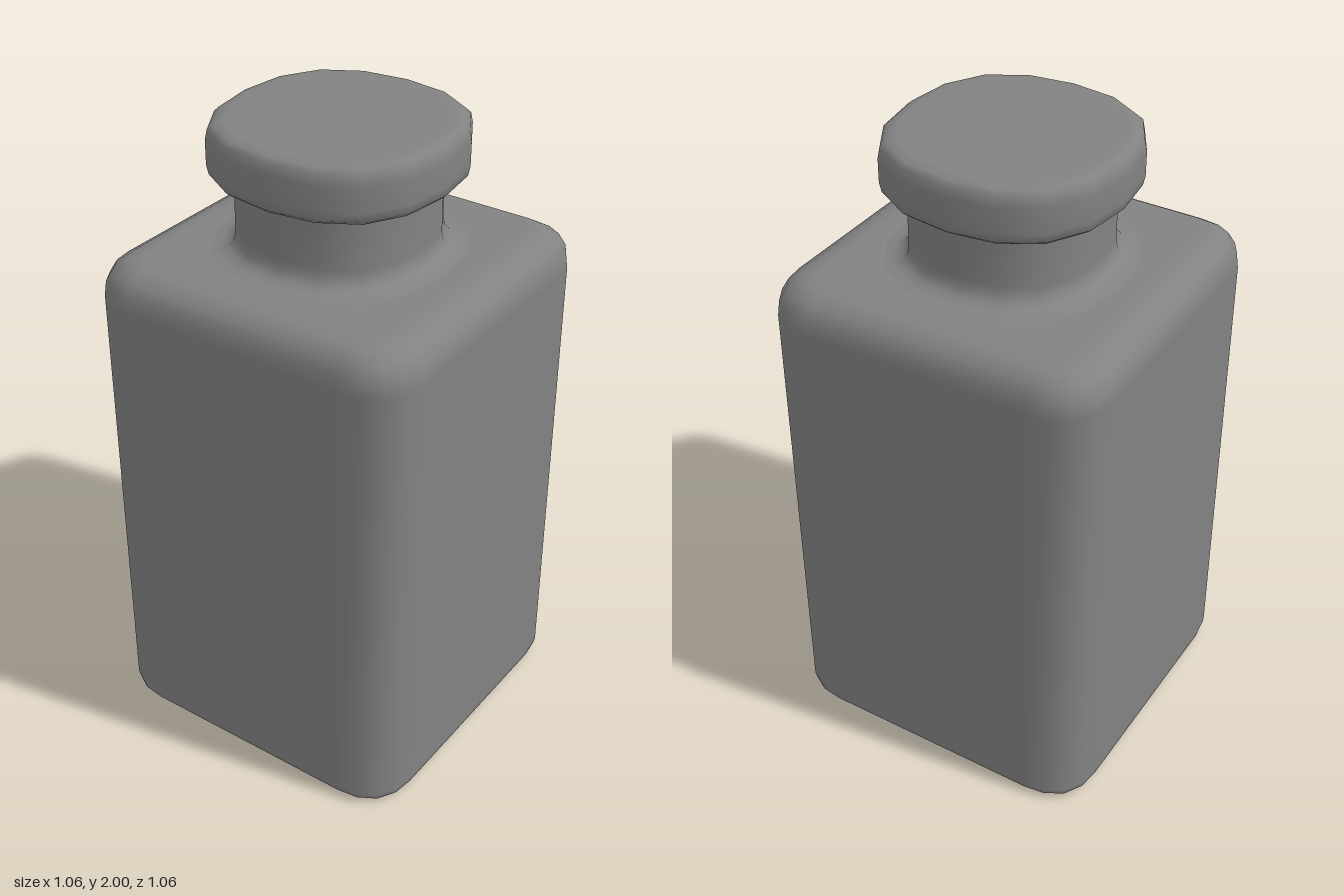
import * as THREE from 'three';

const material = new THREE.MeshStandardMaterial({ color: 0x828282 });

// Quarter of a slightly squared unit circle, in four segments.
const quarter = [[1, 0], [0.944, 0.418], [0.75, 0.75], [0.418, 0.944], [0, 1]];

// Repeats the points [x, z] of one corner around the y axis.
function fourCorners(points) {
  const ring = [];
  for (let k = 0; k < 4; k++) {
    for (const [x, z] of points) {
      ring.push([[x, z], [-z, x], [-x, -z], [z, -x]][k]);
    }
  }
  return ring;
}

// Square of half width h with rounded corners of size r.
const roundedSquare = (h, r) =>
  fourCorners(quarter.map(([x, z]) => [h - r + r * x, h - r + r * z]));

// Sixteen-sided, slightly squared circle of half width h.
const softCircle = (h) =>
  fourCorners(quarter.slice(0, 4).map(([x, z]) => [h * x, h * z]));

// Skins rings ({ y, ring }) from bottom to top and closes both ends if capped.
function loft(name, levels, capped) {
  const n = levels[0].ring.length;
  const last = (levels.length - 1) * n;
  const pos = [];
  const index = [];
  for (const { y, ring } of levels) {
    for (const [x, z] of ring) pos.push(x, y, z);
  }
  const centre = pos.length / 3;
  pos.push(0, levels[0].y, 0, 0, levels[levels.length - 1].y, 0);
  for (let i = 0; i < n; i++) {
    const k = (i + 1) % n;
    for (let o = 0; o < last; o += n) {
      index.push(o + i, o + n + i, o + k, o + k, o + n + i, o + n + k);
    }
    if (capped) index.push(centre, i, k, centre + 1, last + k, last + i);
  }
  const geometry = new THREE.BufferGeometry();
  geometry.setAttribute('position', new THREE.Float32BufferAttribute(pos, 3));
  geometry.setIndex(index);
  geometry.computeVertexNormals();
  const mesh = new THREE.Mesh(geometry, material);
  mesh.name = name;
  return mesh;
}

export function createModel() {
  const group = new THREE.Group();
  group.name = 'bottle';

  // Square body: small bevel at the foot, rounded shoulder; [half width, y]
  const half = 0.532, shoulder = 0.115, top = 1.603;
  const bodyProfile = [
    [0.495, 0], [0.515, 0.006], [0.527, 0.018], [half, 0.04],
    ...quarter.map(([x, y]) => [half - shoulder * (1 - x), top - shoulder * (1 - y)]),
  ];
  group.add(loft('body', bodyProfile.map(([h, y]) =>
    ({ y, ring: roundedSquare(h, 0.17 - (half - h)) })), true));

  // Neck flaring out onto the shoulder
  const neckProfile = [
    [0.37, 1.602], [0.335, 1.606], [0.308, 1.617], [0.293, 1.637], [0.288, 1.665], [0.288, 1.86],
  ];
  group.add(loft('neck', neckProfile.map(([h, y]) => ({ y, ring: softCircle(h) })), false));

  // Thick rounded cap
  const capProfile = [
    [0.312, 1.828], [0.338, 1.833], [0.353, 1.846], [0.359, 1.875],
    [0.359, 1.95], [0.353, 1.98], [0.338, 1.994], [0.308, 2],
  ];
  group.add(loft('cap', capProfile.map(([h, y]) => ({ y, ring: softCircle(h) })), true));

  return group;
}
